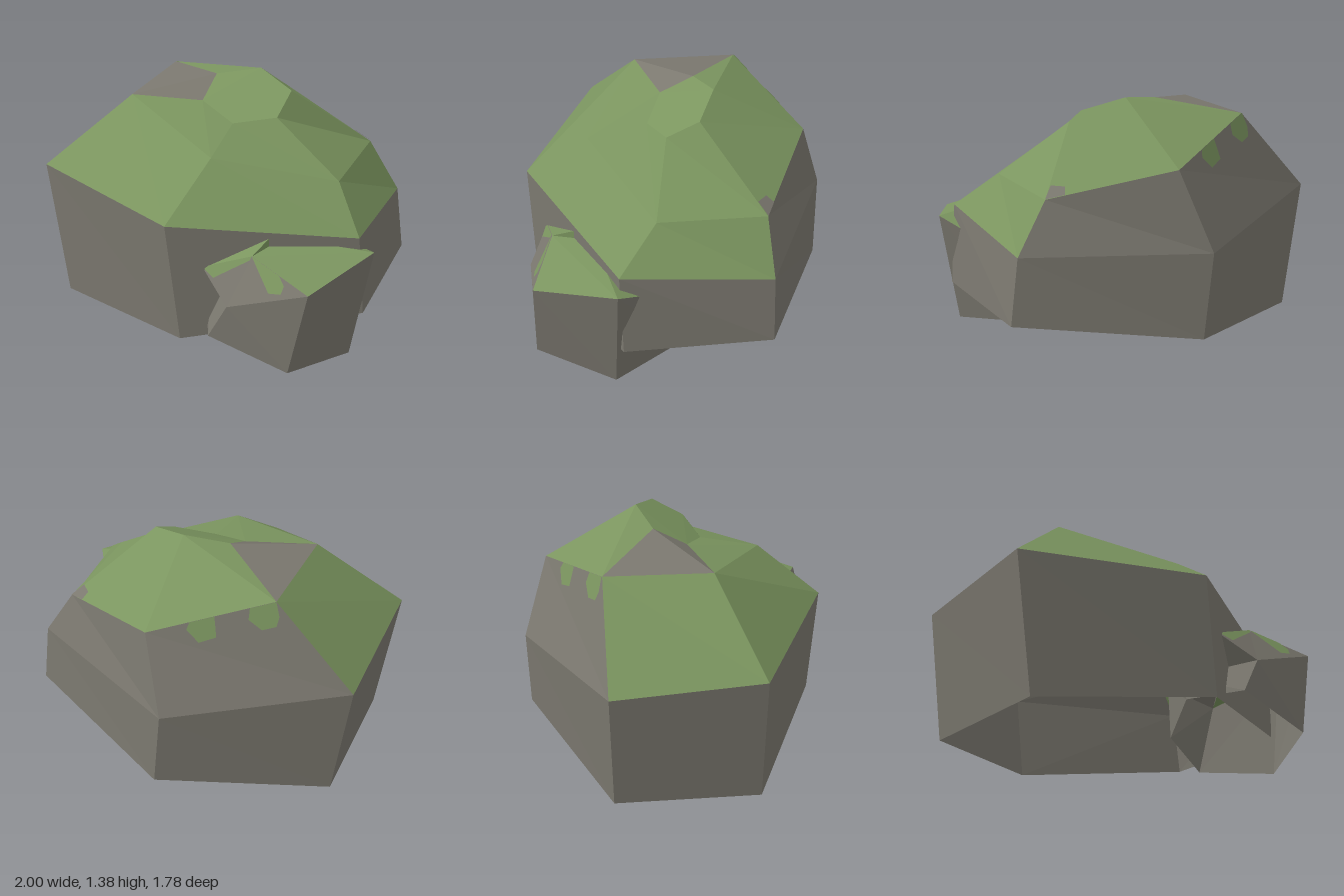
import * as THREE from 'three';

const V = (p) => new THREE.Vector3(...p);

export function createModel() {
  const mat = (name, color) => {
    const m = new THREE.MeshStandardMaterial({ color, flatShading: true, side: THREE.DoubleSide });
    m.name = name;
    return m;
  };
  const stone = mat('stone', 0x7b786f);
  const moss = mat('moss', 0x7b955f);

  // Mesh from flat faces; each quad is split from its second to its fourth corner
  const facets = (name, material, faces) => {
    const pos = [];
    for (const f of faces) {
      if (f.length === 4) pos.push(f[0], f[1], f[3], f[1], f[2], f[3]);
      else for (let i = 1; i < f.length - 1; i++) pos.push(f[0], f[i], f[i + 1]);
    }
    const g = new THREE.BufferGeometry();
    g.setAttribute('position', new THREE.Float32BufferAttribute(pos.flat(), 3));
    g.computeVertexNormals();
    const mesh = new THREE.Mesh(g, material);
    mesh.name = name;
    return mesh;
  };

  // Thin patch lying on the plane o, u, v, with its outline in edge fractions
  const patch = (name, material, o, u, v, outline) => {
    const O = V(o), U = V(u).sub(O), W = V(v).sub(O);
    const lift = U.clone().cross(W).setLength(0.004);
    const pts = outline.map(([a, b]) =>
      O.clone().addScaledVector(U, a).addScaledVector(W, b).add(lift).toArray());
    return facets(name, material, [pts]);
  };

  const model = new THREE.Group();
  model.name = 'mossyRocks';

  // Large boulder: four six-sided rings, open underneath
  const low = [[-0.89, 0.02, 0.37], [0.01, 0.13, 0.83], [0.95, 0.25, 0.43],
    [1, 0.26, -0.4], [0.07, 0.14, -0.88], [-0.855, 0.02, -0.46]];
  const mid = [[-1, 0.84, 0.36], [-0.06, 0.83, 0.85], [0.91, 0.72, 0.44],
    [0.95, 0.64, -0.4], [0.02, 0.63, -0.89], [-0.95, 0.77, -0.48]];
  const high = [[-0.53, 1.26, 0.14], [0.08, 1.1, 0.5], [0.73, 0.93, 0.21],
    [0.77, 0.93, -0.39], [0.15, 1.08, -0.74], [-0.49, 1.26, -0.46]];
  const cap = [[-0.13, 1.24, 0.05], [0.09, 1.17, 0.16], [0.33, 1.21, 0.09],
    [0.36, 1.31, -0.09], [0.14, 1.38, -0.21], [-0.11, 1.34, -0.14]];
  const bandFaces = (a, b, sides) => sides.map((i) => {
    const j = (i + 1) % 6;
    return [a[i], a[j], b[j], b[i]];
  });

  const boulder = new THREE.Group();
  boulder.name = 'boulder';
  boulder.add(
    facets('boulderStone', stone, [
      ...bandFaces(low, mid, [0, 1, 2, 3, 4, 5]),
      ...bandFaces(mid, high, [3, 4]),
      ...bandFaces(high, cap, [5]),
    ]),
    facets('boulderMoss', moss, [
      ...bandFaces(mid, high, [0, 1, 2, 5]),
      ...bandFaces(high, cap, [0, 1, 2, 3, 4]),
      cap,
    ]),
    patch('backMossPatch', moss, high[5], high[4], mid[5],
      [[0, 0], [0.06, 0.14], [0.13, 0.22], [0.24, 0.22], [0.27, 0.1], [0.2, 0]]),
    patch('backMossPatch', moss, high[5], high[4], mid[5],
      [[0.47, 0], [0.5, 0.06], [0.57, 0.19], [0.71, 0.2], [0.72, 0.06], [0.66, 0]]),
    patch('bareStonePatch', stone, high[3], high[4], cap[3],
      [[0, 0], [0.15, 0], [0.12, 0.1], [0, 0.15]]),
  );

  // Small rock leaning into the front left corner, also open underneath
  const [p1, p2, p3, p4, p5, p6] = [[0.65, 0.08, 0.89], [0.89, 0, 0.47], [0.7, 0.07, 0.05],
    [0.3, 0.15, 0.2], [0.07, 0.22, 0.55], [0.19, 0.21, 0.87]];
  const [q1, q2, q3, q4, q5, q6] = [[0.75, 0.58, 0.89], [1, 0.66, 0.46], [0.79, 0.5, 0.1],
    [0.32, 0.48, 0.17], [0.08, 0.37, 0.5], [0.3, 0.42, 0.88]];
  const brow = [0.4, 0.68, 0.75];
  const shoulder = [0.12, 0.57, 0.76];
  const ridge = [0.5, 0.78, 0.54];
  const dip = [0.51, 0.7, 0.53];

  const rock = new THREE.Group();
  rock.name = 'smallRock';
  rock.add(
    facets('smallRockStone', stone, [
      [p6, p1, q1, q6], [p1, p2, q2, q1], [p2, p3, q3, q2],
      [p3, p4, q4, q3], [p4, p5, q5, q4], [p5, p6, q6, q5],
      [q6, q1, brow], [shoulder, q6, brow], [q5, q6, shoulder],
      [ridge, dip, q3], [ridge, q3, q4], [ridge, q4, q5], [ridge, q5, shoulder],
    ]),
    facets('smallRockMoss', moss, [
      [brow, q1, q2], [brow, q2, dip], [dip, q2, q3],
      [brow, dip, ridge], [shoulder, brow, ridge],
    ]),
    patch('frontMossPatch', moss, brow, q6, q1,
      [[0, 0], [0.14, 0.2], [0.2, 0.38], [0.36, 0.47], [0.25, 0.64], [0.1, 0.63], [0, 0.5]]),
    patch('frontMossPatch', moss, brow, shoulder, q6,
      [[0, 0], [1, 0], [0.62, 0.3], [0.35, 0.2], [0, 0.08]]),
  );

  model.add(boulder, rock);
  return model;
}
